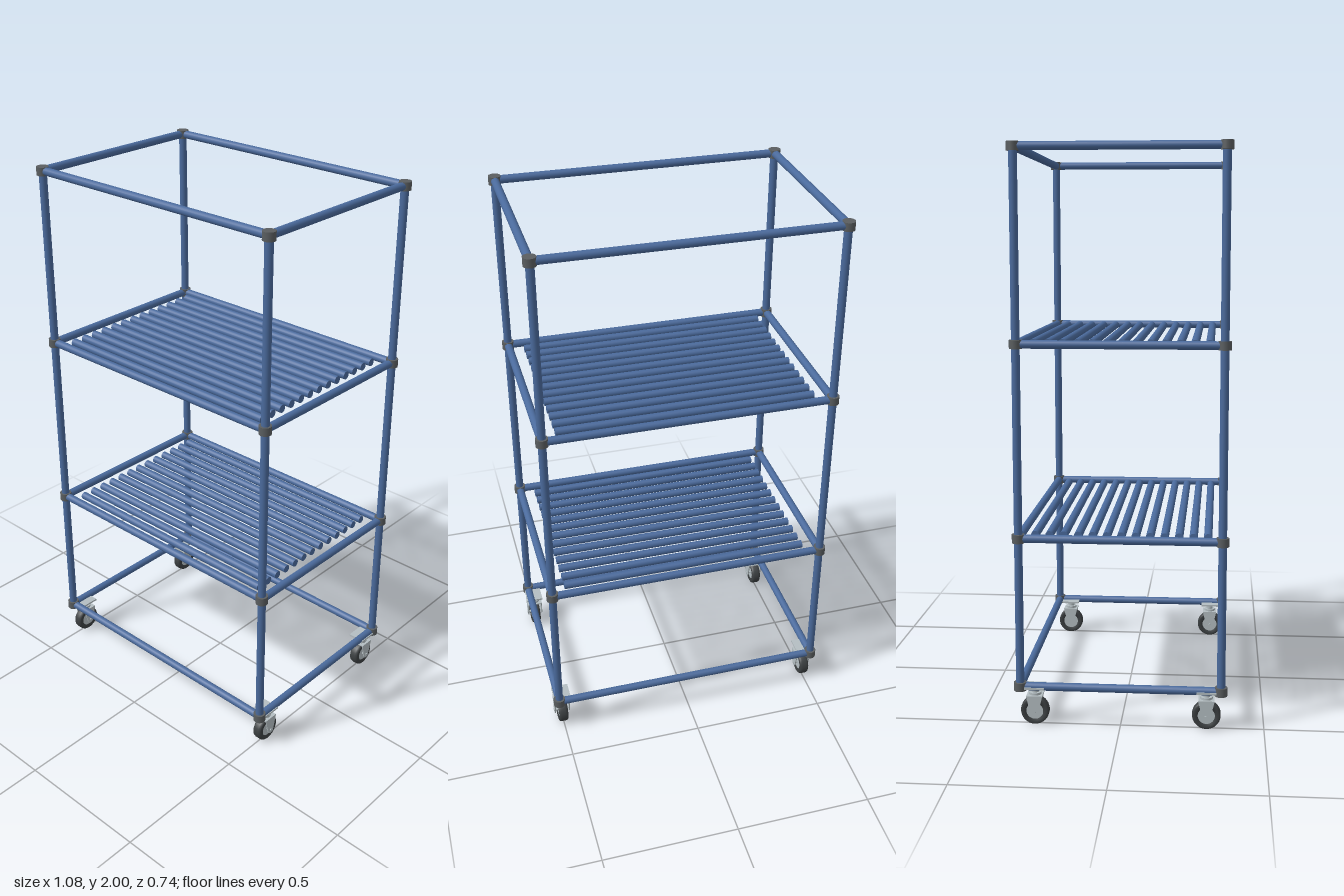
import * as THREE from 'three';

const X = 0.516, Z = 0.35;                      // post centres
const LEVELS = [0.14, 0.669, 1.336, 1.985];     // rail heights
const R = 0.0145;                               // tube radius

const mat = (color, side = THREE.FrontSide) => new THREE.MeshStandardMaterial({ color, side });
const blue = mat(0x4a6a9c), jointGrey = mat(0x5a5e60), rubber = mat(0x3c4042), steel = mat(0xb4bec2);

function add(parent, name, geometry, material, x = 0, y = 0, z = 0) {
  const mesh = new THREE.Mesh(geometry, material);
  mesh.name = name;
  mesh.position.set(x, y, z);
  parent.add(mesh);
  return mesh;
}

// Round bar lying along the chosen axis
function bar(radius, length, axis, sides = 20) {
  const g = new THREE.CylinderGeometry(radius, radius, length, sides);
  if (axis === 'x') g.rotateZ(Math.PI / 2);
  if (axis === 'z') g.rotateX(Math.PI / 2);
  return g;
}

// Tyre profile with rounded shoulders, revolved about the axle
function tyreGeometry() {
  const pts = [[0.03, -0.016], [0.043, -0.018], [0.048, -0.015], [0.05, -0.008],
    [0.05, 0.008], [0.048, 0.015], [0.043, 0.018], [0.03, 0.016], [0.03, -0.016]];
  return new THREE.LatheGeometry(pts.map(p => new THREE.Vector2(...p)), 32).rotateZ(Math.PI / 2);
}

// Fork cheek: broad at the crown, tapering to a rounded end at the axle
function cheekGeometry() {
  const s = new THREE.Shape();
  s.moveTo(-0.028, 0.055);
  s.lineTo(-0.014, -0.002);
  s.absarc(0, 0, 0.014, Math.PI, Math.PI * 2, false);
  s.lineTo(0.028, 0.055);
  s.closePath();
  return new THREE.ExtrudeGeometry(s, { depth: 0.004, bevelEnabled: false, curveSegments: 10 })
    .translate(0, 0, -0.002).rotateY(Math.PI / 2);
}

function caster() {
  const g = new THREE.Group();
  g.name = 'caster';
  add(g, 'mountingPlate', new THREE.BoxGeometry(0.065, 0.007, 0.07), steel, 0, 0.136, 0);
  add(g, 'swivelStem', bar(0.013, 0.03, 'y'), steel, 0, 0.12, 0);
  add(g, 'swivelRace', bar(0.022, 0.008, 'y', 24), steel, 0, 0.112, 0);
  add(g, 'forkCrown', new THREE.BoxGeometry(0.06, 0.005, 0.056), steel, 0, 0.1055, 0);
  for (const s of [-1, 1]) add(g, 'forkCheek', cheekGeometry(), steel, s * 0.028, 0.05, 0);
  add(g, 'tyre', tyreGeometry(), rubber, 0, 0.05, 0);
  add(g, 'wheelHub', bar(0.0305, 0.028, 'x', 28), steel, 0, 0.05, 0);
  add(g, 'axle', bar(0.006, 0.064, 'x', 12), steel, 0, 0.05, 0);
  return g;
}

export function createModel() {
  const model = new THREE.Group();
  model.name = 'shelfTrolley';

  // Corner posts, joints and casters
  const bottom = LEVELS[0] - R, top = LEVELS[3] + R - 0.001;
  for (const sx of [-1, 1]) for (const sz of [-1, 1]) {
    add(model, 'post', bar(R, top - bottom, 'y'), blue, sx * X, (top + bottom) / 2, sz * Z);
    for (const y of LEVELS) add(model, 'cornerJoint', bar(0.022, 0.03, 'y', 24), jointGrey, sx * X, y, sz * Z);
    const c = caster();
    c.position.set(sx * 0.501, 0, sz * 0.3);
    model.add(c);
  }

  // Rectangular rail frame at every level
  for (const y of LEVELS) for (const s of [-1, 1]) {
    add(model, 'longRail', bar(R, 2 * X, 'x'), blue, 0, y, s * Z);
    add(model, 'sideRail', bar(R, 2 * Z, 'z'), blue, s * X, y, 0);
  }

  // Two shelves of parallel tubes
  for (const y of [LEVELS[1], LEVELS[2]]) {
    const shelf = new THREE.Group();
    shelf.name = 'shelf';
    for (let i = -6; i <= 6; i++) add(shelf, 'slat', bar(R, 0.924, 'x'), blue, 0, y, i * 0.05);
    model.add(shelf);
  }
  return model;
}
